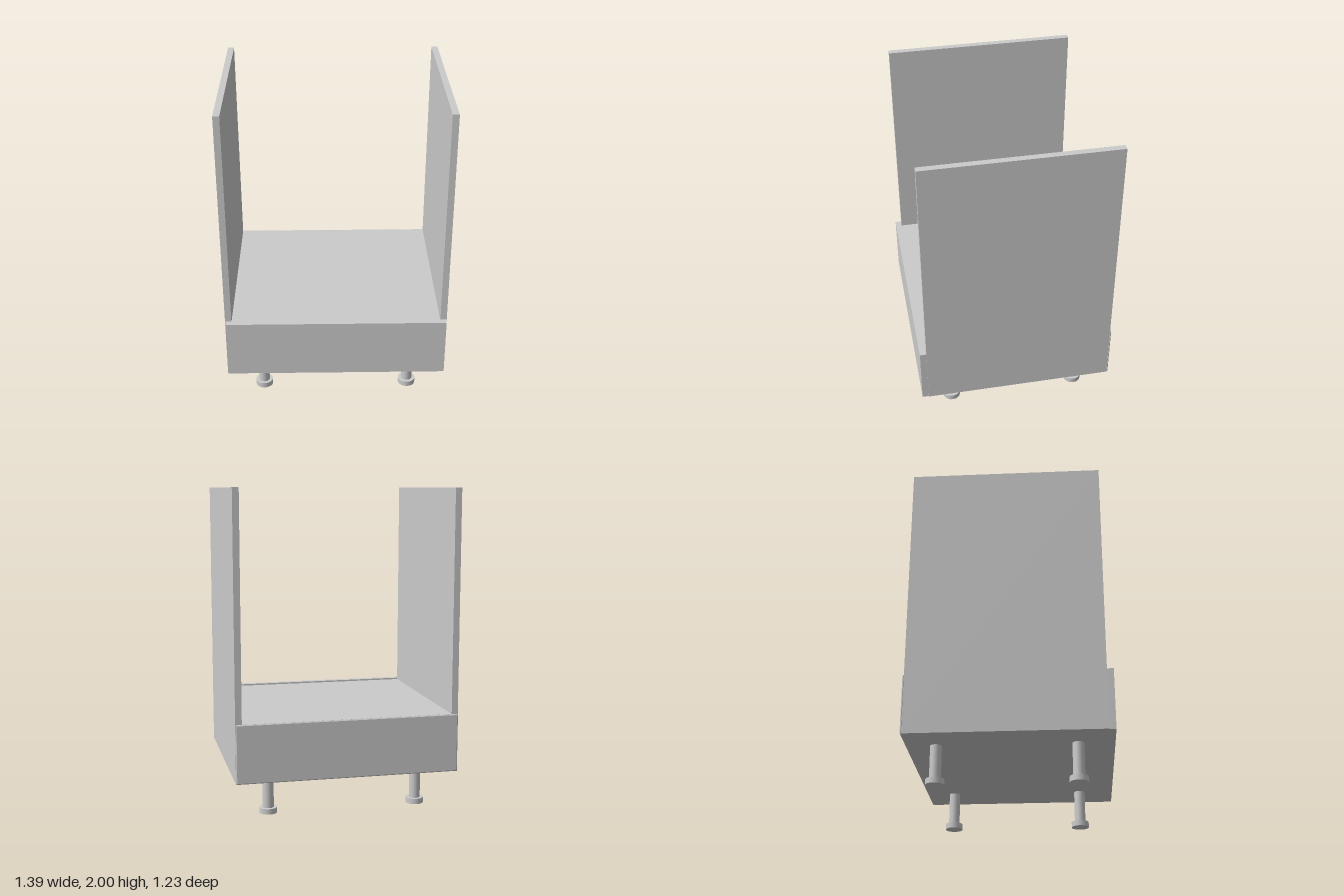
import * as THREE from 'three';

export function createModel() {
  const model = new THREE.Group();
  model.name = 'ovenCabinet';
  const grey = new THREE.MeshStandardMaterial({ color: 0xcccccc });

  // Box given by its minimum and maximum corners
  const panel = (name, [x0, y0, z0], [x1, y1, z1]) => {
    const geometry = new THREE.BoxGeometry(x1 - x0, y1 - y0, z1 - z0);
    const mesh = new THREE.Mesh(geometry, grey);
    mesh.position.set((x0 + x1) / 2, (y0 + y1) / 2, (z0 + z1) / 2);
    mesh.name = name;
    model.add(mesh);
  };

  const base = 0.24, shelfTop = 0.605, back = -0.607, front = 0.576;
  const outer = 0.697, inner = 0.657;

  // Tall side panels
  panel('leftSide', [inner, base, back], [outer, 2, front]);
  panel('rightSide', [-outer, base, back], [-inner, 2, front]);

  // Bottom board and the shelf above the drawer space
  panel('bottomBoard', [-inner, base, back], [inner, base + 0.04, front]);
  panel('shelf', [-inner, shelfTop - 0.04, back], [inner, shelfTop, front]);

  // Drawer front
  panel('drawerFront', [-0.692, base, front], [0.692, 0.615, 0.616]);

  // Thin back panel with slightly bevelled outer edges
  const w = 0.69, bevel = 0.006;
  const outline = new THREE.Shape([
    new THREE.Vector2(-w, base + bevel), new THREE.Vector2(w, base + bevel),
    new THREE.Vector2(w, shelfTop - bevel), new THREE.Vector2(-w, shelfTop - bevel),
  ]);
  const backGeometry = new THREE.ExtrudeGeometry(outline, {
    depth: 0.004, bevelEnabled: true, bevelThickness: 0.004, bevelSize: bevel, bevelSegments: 1,
  });
  const backPanel = new THREE.Mesh(backGeometry, grey);
  backPanel.position.z = -0.613;
  backPanel.name = 'backPanel';
  model.add(backPanel);

  // Four round legs, each on a wider foot
  for (const x of [-0.475, 0.475]) {
    for (const z of [-0.436, 0.4]) {
      const leg = new THREE.Group();
      leg.name = 'leg';
      const post = new THREE.Mesh(new THREE.CylinderGeometry(0.035, 0.035, base - 0.035, 20), grey);
      post.position.y = (base + 0.035) / 2;
      post.name = 'legPost';
      const foot = new THREE.Mesh(new THREE.CylinderGeometry(0.056, 0.056, 0.035, 20), grey);
      foot.position.y = 0.0175;
      foot.name = 'legFoot';
      leg.add(post, foot);
      leg.position.set(x, 0, z);
      model.add(leg);
    }
  }
  return model;
}
